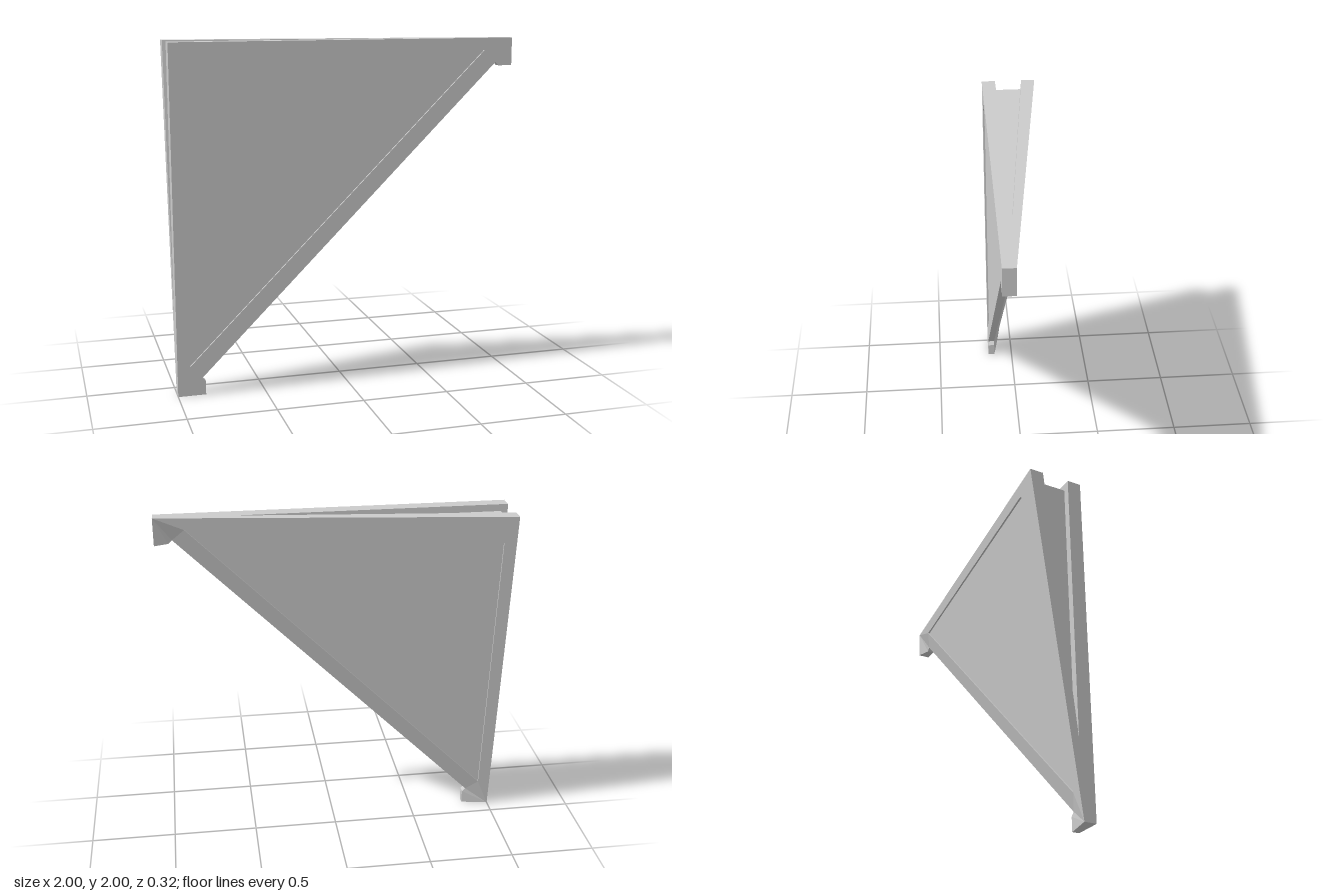
import * as THREE from 'three';

const FRONT = 0.16, RECESS = 0.01, SLOT_FRONT = 0.08;
const fromCorner = ([x, y]) => (x + 1) + (2 - y); // distance measure from the thick corner
const backPlane = p => -0.16 + 0.125 * fromCorner(p);
const slotBack = p => -0.08 + (0.16 / 1.56) * fromCorner(p);

// Outline, clockwise from the thick top corner: [x, y, back z]
const outline = [
  [-1, 2, -0.16], [1, 2, 0.09], [1, 1.84, 0.09], [0.92, 1.84, 0.12], [0.9, 1.86, 0.12],
  [-0.86, 0.1, 0.12], [-0.84, 0.08, 0.12], [-0.84, 0, 0.12], [-1, 0, 0.09],
];
const [A, B, C, D, D2, E2, E, F, G] = outline;

// Inset panel, clockwise, with its rim on the sloping back
const panel = [[-0.83, 1.93], [0.83, 1.93], [-0.93, 0.17], [-0.93, 1.84]].map(p => [...p, backPlane(p)]);
const [P0, P1, P2, P3] = panel;

// Frame faces around the panel, shared by front and back
const frameFaces = [
  [A, B, P1, P0], [A, P0, P3], [A, P3, P2, G], [P2, P1, D2, E2],
  [P1, B, D2], [B, D, D2], [B, C, D], [P2, E2, G], [G, E2, E], [G, E, F],
];

const at = (p, z) => [p[0], p[1], z];

// Flat convex face, wound so that it faces the given direction
function face(dir, ...pts) {
  const v = pts.map(p => new THREE.Vector3(...p));
  const normal = new THREE.Vector3();
  for (let i = 1; i < v.length - 1; i++) {
    normal.add(v[i].clone().sub(v[0]).cross(v[i + 1].clone().sub(v[0])));
  }
  if (normal.dot(new THREE.Vector3(...dir)) < 0) v.reverse();
  const tris = [];
  for (let i = 1; i < v.length - 1; i++) tris.push(v[0], v[i], v[i + 1]);
  return tris;
}

// Wall along one edge between two depths; side +1 faces out of a clockwise loop
function wall(p, q, zP, zQ, zP2, zQ2, side) {
  const dir = [-(q[1] - p[1]) * side, (q[0] - p[0]) * side, 0];
  return face(dir, at(p, zP), at(q, zQ), at(q, zQ2), at(p, zP2));
}

export function createModel() {
  const group = new THREE.Group();
  const material = new THREE.MeshStandardMaterial({ color: 0xcccccc, flatShading: true, side: THREE.DoubleSide });
  const add = (name, faces) => {
    const geometry = new THREE.BufferGeometry().setFromPoints(faces.flat());
    geometry.computeVertexNormals();
    const mesh = new THREE.Mesh(geometry, material);
    mesh.name = name;
    group.add(mesh);
  };
  const front = [0, 0, 1], back = [0, 0, -1];

  // Flat front frame and sloping back frame
  add('frontFrame', frameFaces.map(f => face(front, ...f.map(p => at(p, FRONT)))));
  add('backFrame', frameFaces.map(f => face(back, ...f)));

  // Shallow recessed panels on both sides
  const edges = panel.map((p, i) => [p, panel[(i + 1) % panel.length]]);
  const sunk = FRONT - RECESS;
  add('frontPanel', [
    face(front, ...panel.map(p => at(p, sunk))),
    ...edges.map(([p, q]) => wall(p, q, sunk, sunk, FRONT, FRONT, -1)),
  ]);
  add('backPanel', [
    face(back, ...panel.map(p => at(p, p[2] + RECESS))),
    ...edges.map(([p, q]) => wall(p, q, p[2], q[2], p[2] + RECESS, q[2] + RECESS, -1)),
  ]);

  // Long diagonal side with the small end tabs
  add('diagonalSide', outline.slice(1, -1).map((p, i) => {
    const q = outline[i + 2];
    return wall(p, q, p[2], q[2], FRONT, FRONT, 1);
  }));

  // Top and left sides, each with a tapering wedge slot that meets at the corner
  const inner = [-0.96, 1.96];
  const arms = [
    { name: 'top', dir: [0, 1, 0], end: B, tip: [0.56, 2], tipIn: [0.52, 1.96] },
    { name: 'right', dir: [-1, 0, 0], end: G, tip: [-1, 0.44], tipIn: [-0.96, 0.48] },
  ];
  for (const { name, dir, end, tip, tipIn } of arms) {
    const T = at(tip, SLOT_FRONT);
    add(name + 'Side', [
      face(dir, A, at(A, slotBack(A)), T, end),
      face(dir, at(A, SLOT_FRONT), at(A, FRONT), at(end, FRONT), T),
      face(dir, T, at(end, FRONT), end),
    ]);
    const cheek = [A, tip, tipIn, inner];
    add(name + 'Slot', [
      face(back, ...cheek.map(p => at(p, SLOT_FRONT))),
      face(front, ...cheek.map(p => at(p, slotBack(p)))),
      face(dir, at(inner, SLOT_FRONT), at(inner, slotBack(inner)), at(tipIn, SLOT_FRONT)),
    ]);
  }
  return group;
}
